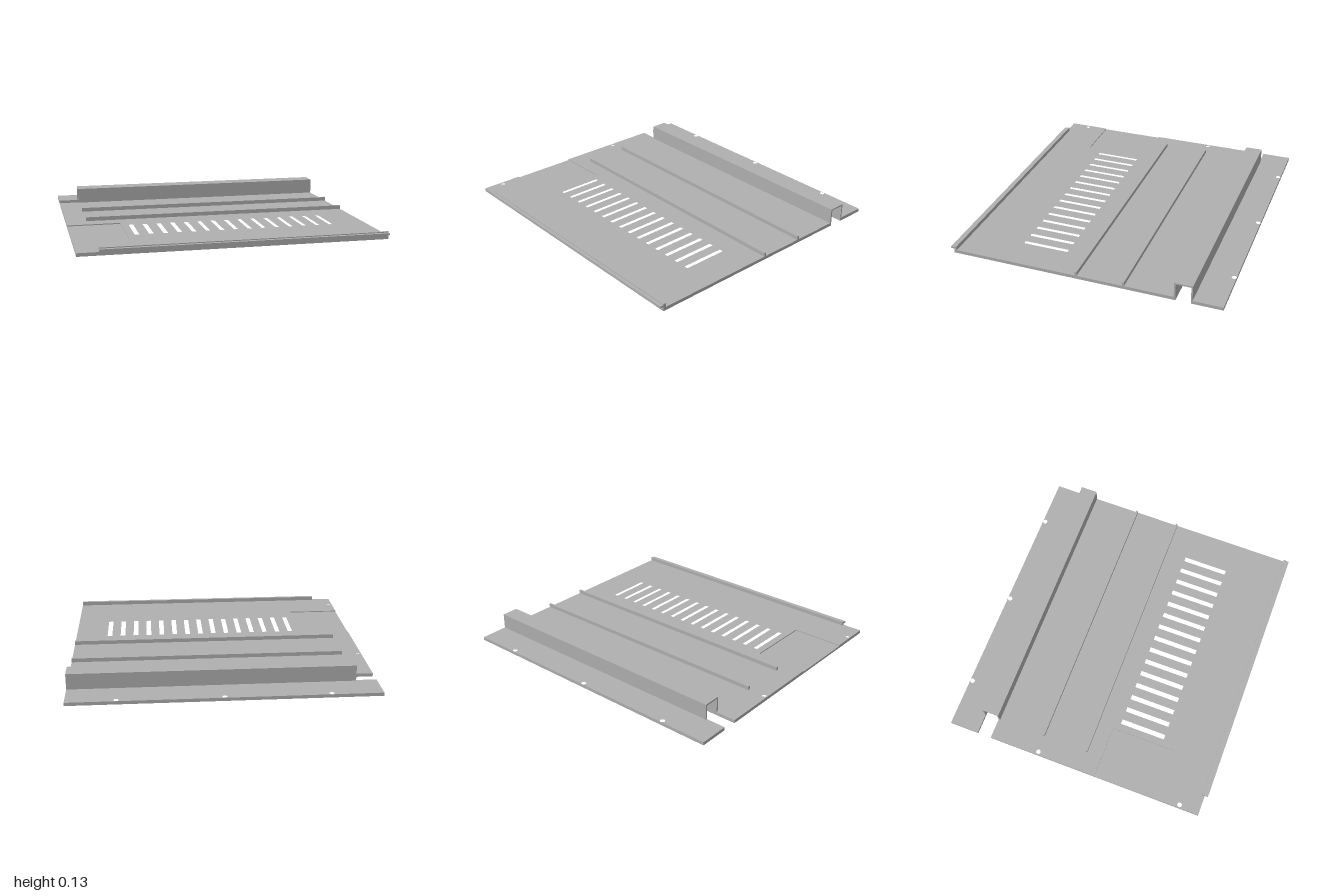
import * as THREE from 'three';

export function createModel() {
  const group = new THREE.Group();
  const steel = new THREE.MeshStandardMaterial({ color: 0xb0b0b0 });
  steel.name = 'plain grey';

  const THICK = 0.022, RECESS = 0.007; // sheet thickness, recess depth
  const X0 = -1, X1 = 1, START = -0.863; // raised features begin at START

  const add = (name, geometry) => {
    const mesh = new THREE.Mesh(geometry, steel);
    mesh.name = name;
    group.add(mesh);
  };

  // Horizontal slab from an [x, z] outline, between heights y0 and y1
  const slab = (name, outline, holes, y0, y1) => {
    const shape = new THREE.Shape(outline.map(([x, z]) => new THREE.Vector2(x, -z)));
    shape.holes = holes;
    const g = new THREE.ExtrudeGeometry(shape, { depth: y1 - y0, bevelEnabled: false, curveSegments: 20 });
    g.rotateX(-Math.PI / 2).translate(0, y0, 0);
    add(name, g);
  };

  // Constant [z, y] section running along x from START to the left end
  const rail = (name, section) => {
    const shape = new THREE.Shape(section.map(([z, y]) => new THREE.Vector2(-z, y)));
    const g = new THREE.ExtrudeGeometry(shape, { depth: X1 - START, bevelEnabled: false });
    g.rotateY(Math.PI / 2).translate(START, 0, 0);
    add(name, g);
  };

  const roundHole = (x, z) => new THREE.Path().absarc(x, -z, 0.016, 0, Math.PI * 2, true);
  const slotHole = (x) => new THREE.Path([
    [x - 0.0175, -0.19], [x + 0.0175, -0.19], [x + 0.0175, -0.507], [x - 0.0175, -0.507],
  ].map(([a, b]) => new THREE.Vector2(a, b)));

  // Main plate: vent slots, two screw holes and a shallow recess on its right edge
  const holes = [roundHole(-0.977, -0.272), roundHole(-0.977, 0.76)];
  for (let i = 0; i < 15; i++) holes.push(slotHole(-0.574 + i * 0.0952));
  const back = -0.62, front = 0.9;
  slab('mainPlateBase', [[X0, back], [X1, back], [X1, front], [X0, front]], holes, 0, THICK - RECESS);
  slab('mainPlateTop', [
    [X0, back], [X1, back], [X1, front], [X0, front],
    [X0, 0.61], [-0.64, 0.61], [-0.64, 0.15], [X0, 0.15],
  ], holes, THICK - RECESS, THICK);

  // Rear flange with three screw holes
  slab('rearFlange', [[X0, -0.922], [X1, -0.922], [X1, -0.718], [X0, -0.718]],
    [-0.67, 0.005, 0.68].map((x) => roundHole(x, -0.906)), 0, THICK);

  // Raised hollow channel bridging the plate and the flange
  rail('channel', [
    [-0.609, 0], [-0.609, 0.128], [-0.728, 0.128], [-0.728, 0],
    [-0.718, 0], [-0.718, 0.118], [-0.62, 0.118], [-0.62, 0],
  ]);

  // Two low ribs
  for (const z of [0.038, -0.28]) {
    rail('rib', [[z - 0.007, THICK], [z + 0.007, THICK], [z + 0.007, 0.049], [z - 0.007, 0.049]]);
  }

  // Front lip with a forward-pointing tongue
  rail('frontLip', [
    [0.882, THICK], [0.9, THICK], [0.9, 0.031], [0.922, 0.031],
    [0.922, 0.043], [0.9, 0.043], [0.9, 0.049], [0.882, 0.049],
  ]);

  return group;
}
